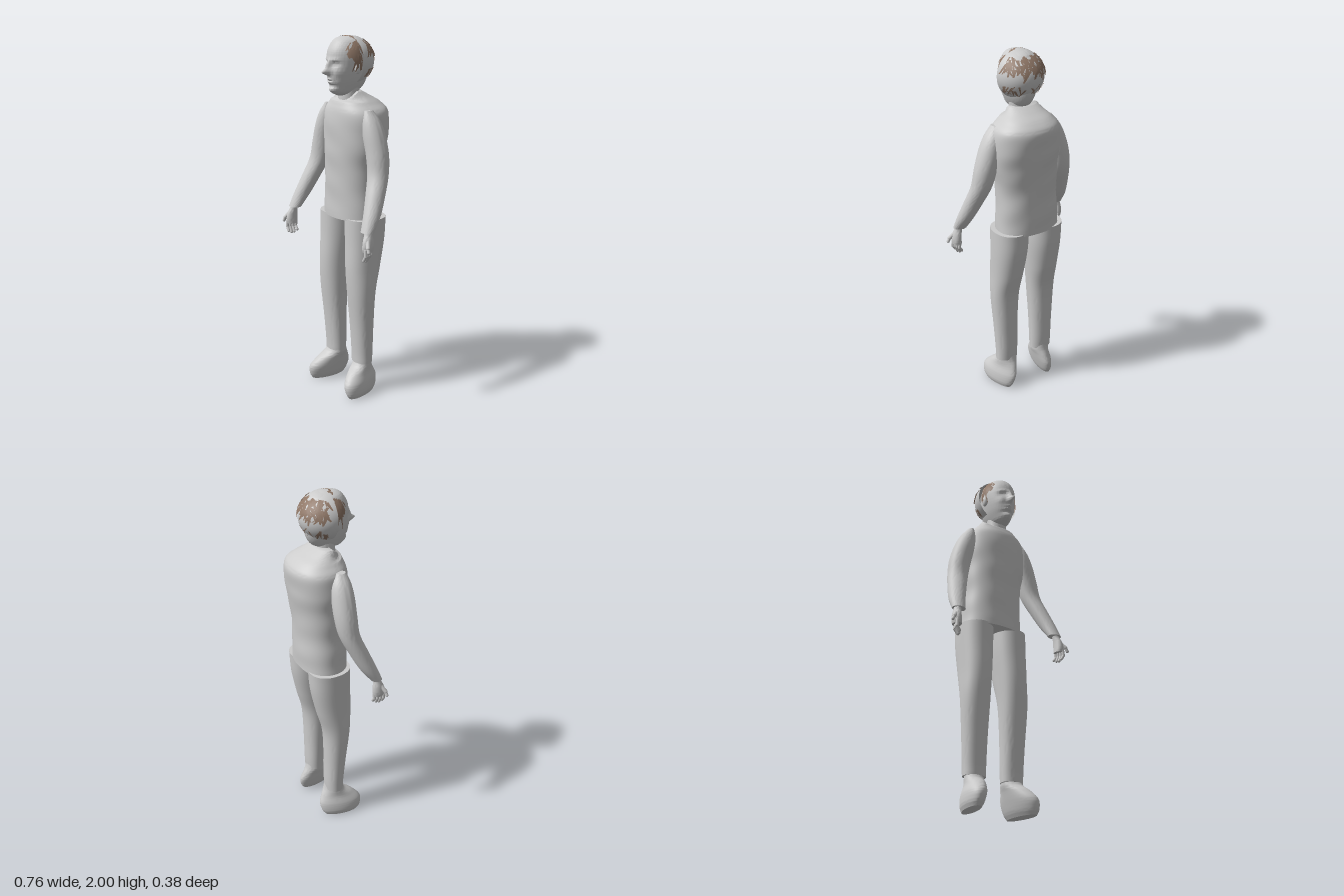
import * as THREE from 'three';
import { mergeGeometries, toCreasedNormals } from 'three/addons/utils/BufferGeometryUtils.js';

const grey = new THREE.MeshStandardMaterial({ color: 0xcccccc, side: THREE.DoubleSide });
grey.name = 'plain grey';
const brown = new THREE.MeshStandardMaterial({ color: 0x8f7767, side: THREE.DoubleSide });
brown.name = 'hair brown';

// Smooth capped body through rings [y, cx, cz, rx, rz], listed upwards
function loft(rings, { power = 2, rows = 40, cols = 40, rule = null, crease = 0.8 } = {}) {
  const centres = new THREE.CatmullRomCurve3(rings.map(r => new THREE.Vector3(r[1], r[0], r[2])), false, 'catmullrom');
  const radii = new THREE.CatmullRomCurve3(rings.map(r => new THREE.Vector3(r[3], 0, r[4])), false, 'catmullrom');
  const pos = [], idx = [], v = new THREE.Vector3();
  const bend = t => Math.sign(t) * Math.abs(t) ** (2 / power);
  for (let i = 0; i <= rows; i++) {
    const c = centres.getPoint(i / rows), r = radii.getPoint(i / rows);
    for (let j = 0; j < cols; j++) {
      const a = j / cols * Math.PI * 2;
      v.set(c.x + r.x * bend(Math.cos(a)), c.y, c.z + r.z * bend(Math.sin(a)));
      if (rule) rule(v, c);
      pos.push(v.x, v.y, v.z);
      if (i < rows) {
        const p = i * cols + j, q = i * cols + (j + 1) % cols;
        idx.push(p, p + cols, q, q, p + cols, q + cols);
      }
    }
  }
  const base = pos.length / 3, top = rows * cols;
  for (const t of [0, 1]) pos.push(...centres.getPoint(t).toArray());
  for (let j = 0; j < cols; j++) {
    const k = (j + 1) % cols;
    idx.push(base, j, k, base + 1, top + k, top + j);
  }
  const g = new THREE.BufferGeometry();
  g.setAttribute('position', new THREE.Float32BufferAttribute(pos, 3));
  g.setIndex(idx);
  return toCreasedNormals(g, crease);
}

function add(parent, name, geometry, material = grey) {
  const m = new THREE.Mesh(geometry, material);
  m.name = name;
  parent.add(m);
  return m;
}

// Rounded rod between two points
function rod(parent, name, a, b, r) {
  const p = new THREE.Vector3(...a), d = new THREE.Vector3(...b).sub(p);
  const m = add(parent, name, new THREE.CapsuleGeometry(r, d.length(), 4, 10));
  m.position.copy(p).addScaledVector(d, 0.5);
  m.quaternion.setFromUnitVectors(new THREE.Vector3(0, 1, 0), d.normalize());
}

const HX = 0.012, HY = 1.87, HZ = 0.02;   // middle of the skull
const bump = (v, x, y, sx, sy) => Math.exp(-(((v.x - HX - x) / sx) ** 2) - ((v.y - y) / sy) ** 2);

// Facial relief, pushed along z on the front half
function faceRule(v) {
  if (v.z < 0.06) return;
  v.z += 0.046 * bump(v, 0, 1.818, 0.014, 0.016) + 0.024 * bump(v, 0, 1.85, 0.01, 0.026);
  v.z += 0.01 * bump(v, 0, 1.764, 0.026, 0.008) + 0.008 * bump(v, 0, 1.781, 0.024, 0.007);
  v.z -= 0.008 * bump(v, 0, 1.773, 0.026, 0.004);
  v.z += 0.016 * bump(v, 0, 1.722, 0.025, 0.016) - 0.007 * bump(v, 0, 1.745, 0.03, 0.008);
  for (const s of [-1, 1]) {
    v.z -= 0.014 * bump(v, s * 0.034, 1.858, 0.018, 0.012);
    v.z += 0.007 * bump(v, s * 0.034, 1.857, 0.011, 0.006);
    v.z += 0.006 * bump(v, s * 0.034, 1.882, 0.026, 0.007);
    v.z += 0.006 * bump(v, s * 0.045, 1.815, 0.02, 0.02);
  }
}

// Curved lock of hair lying on the skull; angle 0 faces +x, PI/2 faces +z
function lock(angle, tilt, length, width, twist, rx, ry, rz) {
  const g = new THREE.PlaneGeometry(1, 1, 1, 4), p = g.attributes.position;
  for (let i = 0; i < p.count; i++) {
    const t = 0.5 - p.getY(i);
    const th = tilt + t * length;
    const a = angle + twist * t + p.getX(i) * width * (1 - 0.6 * t) / Math.max(Math.sin(th), 0.3);
    const lift = 1 + 0.025 * t;
    p.setXYZ(i, HX + rx * lift * Math.sin(th) * Math.cos(a), HY + ry * Math.cos(th),
      HZ + rz * lift * Math.sin(th) * Math.sin(a));
  }
  g.computeVertexNormals();
  return g;
}

function buildHead() {
  const head = new THREE.Group();
  head.name = 'head';
  add(head, 'face', loft([
    [1.692, HX, 0.06, 0.02, 0.03], [1.705, HX, 0.045, 0.042, 0.07], [1.73, HX, 0.03, 0.058, 0.098],
    [1.78, HX, 0.024, 0.077, 0.118], [1.85, HX, 0.022, 0.09, 0.122], [1.92, HX, 0.02, 0.09, 0.117],
    [1.97, HX, 0.02, 0.07, 0.088], [1.99, HX, 0.02, 0.042, 0.055], [1.997, HX, 0.02, 0.01, 0.01],
  ], { rows: 90, cols: 90, rule: faceRule, crease: 1.2 }));
  add(head, 'neck', loft([
    [1.62, 0.01, 0.01, 0.065, 0.06], [1.68, 0.01, 0.014, 0.058, 0.054], [1.77, HX, 0.01, 0.058, 0.055],
  ]));

  // Back half of the skull, a little wider than the face
  const shell = new THREE.SphereGeometry(1, 40, 28, Math.PI, Math.PI);
  shell.rotateY(Math.PI).scale(0.13, 0.128, 0.143);
  const p = shell.attributes.position;
  for (let i = 0; i < p.count; i++) p.setZ(i, -Math.abs(p.getZ(i)));
  shell.computeVertexNormals();
  add(head, 'skullBack', shell).position.set(HX, HY, HZ);
  for (const s of [-1, 1]) {
    const ear = add(head, 'ear', new THREE.SphereGeometry(1, 16, 12));
    ear.scale.set(0.014, 0.034, 0.02);
    ear.position.set(HX + s * 0.094, 1.84, 0.03);
  }

  // Fringe cap: short over the forehead, longer at the temples
  const cap = new THREE.SphereGeometry(1, 48, 16, 0, Math.PI, 0, 1), c = cap.attributes.position;
  for (let i = 0; i < c.count; i++) {
    const t = Math.floor(i / 49) / 16, a = (i % 49) / 48 * Math.PI;
    const th = 0.12 + t * (0.98 + 0.5 * Math.abs(Math.cos(a)) ** 3 + 0.06 * Math.sin(a * 23));
    c.setXYZ(i, HX + 0.106 * Math.sin(th) * Math.cos(a), HY + 0.129 * Math.cos(th),
      HZ + 0.108 * Math.sin(th) * Math.sin(a));
  }
  cap.computeVertexNormals();
  add(head, 'fringe', cap, brown);

  // Loose locks in front, at the temples, and round the back of the head
  let seed = 7;
  const rnd = (lo, hi) => lo + (hi - lo) * ((seed = (seed * 16807) % 2147483647) / 2147483647);
  const locks = [];
  for (let i = 0; i < 70; i++)
    locks.push(lock(rnd(0.1, 3.04), rnd(0.3, 0.8), rnd(0.25, 0.5), rnd(0.1, 0.25), rnd(-0.4, 0.4), 0.11, 0.131, 0.11));
  for (let i = 0; i < 24; i++)
    locks.push(lock(i % 2 ? rnd(0, 0.3) : Math.PI - rnd(0, 0.3), rnd(0.9, 1.6), rnd(0.25, 0.5), rnd(0.06, 0.14),
      rnd(-0.2, 0.2), 0.11, 0.131, 0.112));
  for (let i = 0; i < 110; i++)
    locks.push(lock(-rnd(0.35, 2.8), rnd(0.6, 1.25), rnd(0.2, 0.45), rnd(0.06, 0.18), rnd(-0.3, 0.3), 0.133, 0.131, 0.146));
  for (let i = 0; i < 22; i++)
    locks.push(lock(-rnd(0.3, 2.84), rnd(1.8, 2.1), rnd(0.2, 0.45), rnd(0.05, 0.12), rnd(-0.3, 0.3), 0.132, 0.13, 0.145));
  add(head, 'hairLocks', mergeGeometries(locks), brown);
  return head;
}

function buildSide(s) {
  const side = new THREE.Group();
  const tag = s > 0 ? 'left' : 'right';
  side.name = tag + 'Limbs';
  const flip = rings => rings.map(([y, x, ...rest]) => [y, s * x, ...rest]);
  const shift = s > 0 ? 0 : -0.01;

  add(side, tag + 'Sleeve', loft(flip([
    [1.025, 0.316, 0.14, 0.038, 0.032], [1.1, 0.302, 0.098, 0.045, 0.046], [1.2, 0.276, 0.052, 0.052, 0.052],
    [1.3, 0.249, 0.012, 0.058, 0.055], [1.4, 0.229, 0, 0.062, 0.06], [1.5, 0.201, 0, 0.06, 0.06],
    [1.57, 0.182, 0.002, 0.045, 0.05], [1.625, 0.166, 0.008, 0.018, 0.025],
  ])));

  // Hand with thumb on the outer front
  add(side, tag + 'Palm', loft(flip([
    [0.925, 0.332, 0.15, 0.024, 0.03], [0.95, 0.334, 0.15, 0.025, 0.034], [0.985, 0.332, 0.147, 0.023, 0.031],
    [1.015, 0.326, 0.142, 0.02, 0.022], [1.04, 0.32, 0.137, 0.019, 0.022],
  ]), { rows: 16, cols: 20 }));
  for (let i = 0; i < 4; i++) {
    const z = 0.126 + i * 0.016, x = 0.328 + i * 0.005, drop = [0.012, 0.002, 0, 0.008][i];
    rod(side, tag + 'Finger', [s * x, 0.94, z], [s * (x + 0.003), 0.905, z + 0.002], 0.009);
    rod(side, tag + 'Fingertip', [s * (x + 0.003), 0.905, z + 0.002], [s * (x - 0.012), 0.872 + drop, z + 0.003], 0.008);
  }
  rod(side, tag + 'Thumb', [s * 0.343, 0.985, 0.158], [s * 0.364, 0.955, 0.175], 0.011);
  rod(side, tag + 'ThumbTip', [s * 0.364, 0.955, 0.175], [s * 0.373, 0.935, 0.178], 0.009);

  const leg = new THREE.Group();
  leg.name = tag + 'Leg';
  leg.position.x = shift;
  side.add(leg);
  add(leg, tag + 'Trouser', loft(flip([
    [0.18, 0.112, 0, 0.063, 0.05], [0.25, 0.112, 0, 0.065, 0.053], [0.4, 0.114, 0.005, 0.07, 0.06],
    [0.6, 0.115, 0.01, 0.08, 0.075], [0.75, 0.109, -0.005, 0.086, 0.098], [0.9, 0.104, -0.022, 0.094, 0.112],
    [1.03, 0.102, -0.028, 0.097, 0.117],
  ]), { power: 2.2 }));
  add(leg, tag + 'Shoe', loft(flip([
    [0, 0.148, 0.035, 0.036, 0.1], [0.03, 0.145, 0.034, 0.049, 0.117], [0.08, 0.136, 0.031, 0.055, 0.123],
    [0.13, 0.121, 0.018, 0.053, 0.093], [0.17, 0.112, 0, 0.055, 0.057], [0.22, 0.112, -0.005, 0.05, 0.042],
  ]), { rule: (v, c) => {
    const t = v.z - c.z;
    v.x = c.x + (v.x - c.x) * (1 + 0.8 * t) + s * 0.16 * t;
  } }));
  return side;
}

export function createModel() {
  const model = new THREE.Group();
  model.name = 'standingFigure';

  // Shirt with soft folds and a neckline that dips in front
  add(model, 'shirt', loft([
    [1.02, -0.007, -0.028, 0.18, 0.127], [1.1, -0.006, -0.029, 0.176, 0.128], [1.2, -0.003, -0.028, 0.17, 0.128],
    [1.3, 0, -0.028, 0.172, 0.131], [1.4, 0.008, -0.032, 0.183, 0.139], [1.5, 0.01, -0.037, 0.19, 0.146],
    [1.6, 0.01, -0.042, 0.182, 0.146], [1.65, 0.006, -0.033, 0.14, 0.12], [1.685, 0.002, -0.012, 0.105, 0.083],
    [1.712, 0, 0.008, 0.084, 0.054],
  ], { power: 2.3, rows: 70, cols: 64, rule: (v, c) => {
    const fold = 1 + 0.012 * Math.sin(v.y * 38 + v.x * 9) * Math.sin(v.x * 14 + v.z * 11 + 1);
    v.x = c.x + (v.x - c.x) * fold;
    v.z = c.z + (v.z - c.z) * fold;
    if (v.y > 1.66 && v.z > c.z) v.y -= (v.y - 1.66) * 0.8 * Math.min(1, (v.z - c.z) / 0.05);
  } }));
  model.add(buildHead(), buildSide(1), buildSide(-1));
  return model;
}
